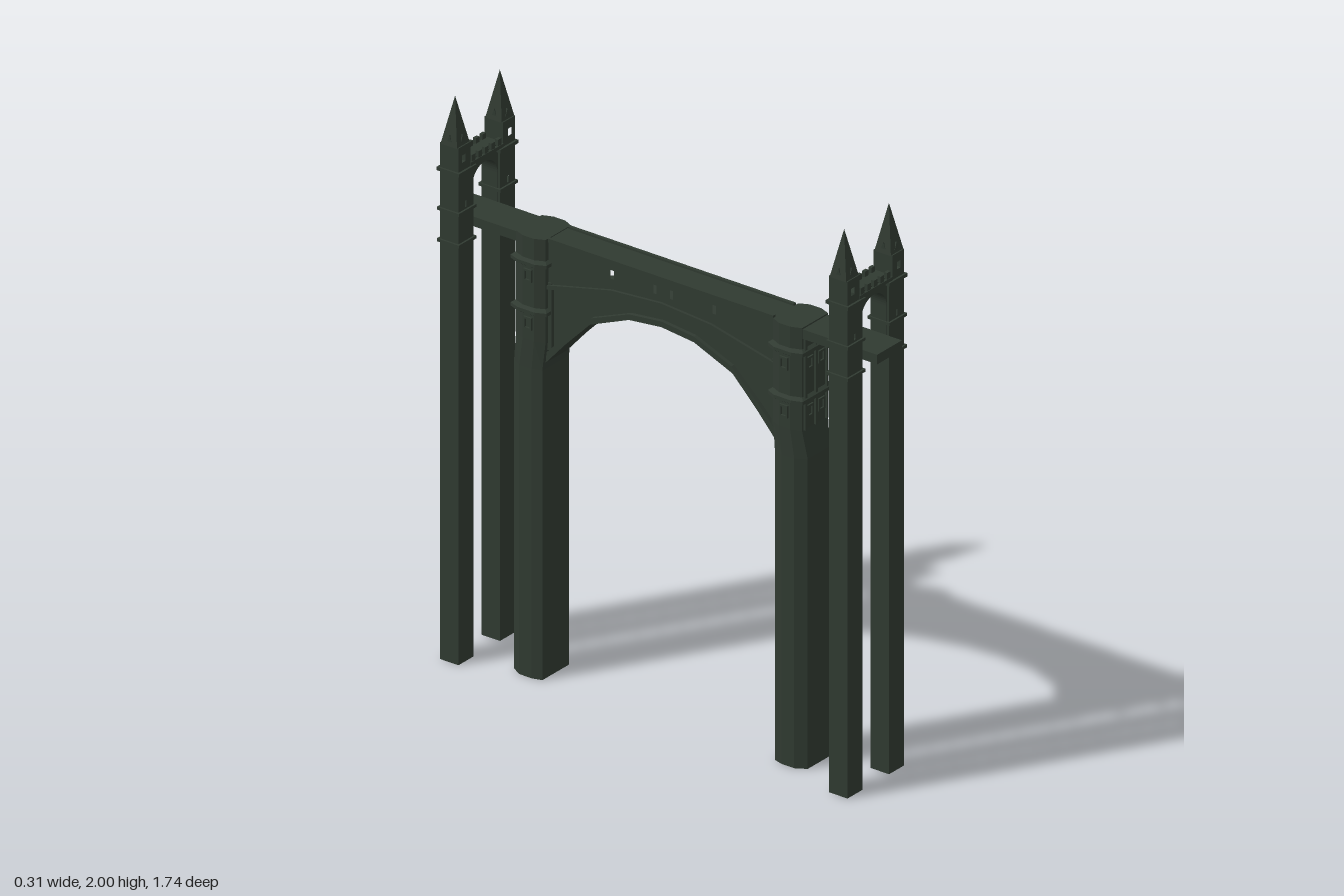
import * as THREE from 'three';

const stone = new THREE.MeshStandardMaterial({ color: 0x303a31 });
stone.name = 'dark green stone';

function add(group, name, geometry, x = 0, y = 0, z = 0) {
  const mesh = new THREE.Mesh(geometry, stone);
  mesh.name = name;
  mesh.position.set(x, y, z);
  group.add(mesh);
  return mesh;
}

const box = (group, name, w, h, d, x, y, z) => add(group, name, new THREE.BoxGeometry(w, h, d), x, y, z);

const polygon = (points) => new THREE.Shape(points.map(([x, y]) => new THREE.Vector2(x, y)));

function rectHole(shape, x, y, w, h) {
  shape.holes.push(new THREE.Path([[-1, -1], [-1, 1], [1, 1], [1, -1]]
    .map(([i, j]) => new THREE.Vector2(x + i * w / 2, y + j * h / 2))));
}

// Extrusion centred on its own depth; the side version maps shape x to model z
function slab(shape, depth) {
  return new THREE.ExtrudeGeometry(shape, { depth, bevelEnabled: false, curveSegments: 12 }).translate(0, 0, -depth / 2);
}
const sideSlab = (shape, depth) => slab(shape, depth).rotateY(-Math.PI / 2);

// Flat-sided loft through [y, plan] sections, each plan listing [x, z] corners
function loft(sections) {
  const n = sections[0][1].length, pos = [];
  const corner = (s, i) => { const [x, z] = sections[s][1][i % n]; return [x, sections[s][0], z]; };
  for (let s = 0; s < sections.length - 1; s++) {
    for (let i = 0; i < n; i++) {
      const a = corner(s, i), b = corner(s, i + 1), c = corner(s + 1, i + 1), d = corner(s + 1, i);
      pos.push(...a, ...c, ...b, ...a, ...d, ...c);
    }
  }
  const top = sections.length - 1;
  for (let i = 1; i < n - 1; i++) {
    pos.push(...corner(0, 0), ...corner(0, i), ...corner(0, i + 1));
    pos.push(...corner(top, 0), ...corner(top, i + 1), ...corner(top, i));
  }
  const geometry = new THREE.BufferGeometry();
  geometry.setAttribute('position', new THREE.Float32BufferAttribute(pos, 3));
  geometry.computeVertexNormals();
  return geometry;
}

// Symmetric plan from the corners of its +x half, inner to outer
const plan = (half) => [...half, ...half.map(([x, z]) => [-x, z]).reverse()];
const grow = (half, d) => half.map(([x, z]) => [x + d, z + Math.sign(z - 0.52) * d]);

// Small raised window surround with a hollow centre
function windowFrame(group, x, y, z, turn) {
  const shape = polygon([[-0.016, -0.022], [0.016, -0.022], [0.016, 0.022], [-0.016, 0.022]]);
  rectHole(shape, 0, 0, 0.02, 0.03);
  add(group, 'windowFrame', slab(shape, 0.012), x, y, z).rotation.y = turn;
}

function makePier() {
  const pier = new THREE.Group();
  pier.name = 'pier';
  const lower = [[0.07, 0.465], [0.08, 0.5], [0.08, 0.55], [0.058, 0.587]];
  const upper = [[0.066, 0.455], [0.082, 0.49], [0.082, 0.535], [0.068, 0.572]];
  add(pier, 'pierShaft', loft([[0, plan(lower)], [1.1, plan(lower)], [1.2, plan(upper)], [1.565, plan(upper)]]));
  for (const y of [1.305, 1.475]) {
    const rim = plan(grow(upper, 0.012)), neck = plan(upper);
    add(pier, 'pierMoulding', loft([[y - 0.014, neck], [y - 0.006, rim], [y + 0.006, rim], [y + 0.014, neck]]));
  }
  // Buttress strips on the outward face
  for (const x of [-0.056, 0, 0.056]) box(pier, 'buttressStrip', 0.01, 0.36, 0.016, x, 1.38, 0.572);
  for (const y of [1.26, 1.43]) {
    for (const s of [-1, 1]) {
      windowFrame(pier, s * 0.03, y, 0.572, 0);
      windowFrame(pier, s * 0.082, y, 0.512, Math.PI / 2);
    }
  }
  return pier;
}

function makeGate() {
  const gate = new THREE.Group();
  gate.name = 'gate';
  const z = 0.778;
  for (const s of [-1, 1]) {
    // Tall tower, pierced by a slit and a belfry window
    const outline = [[0.069, 0], [0.148, 0], [0.148, 1.835], [0.086, 1.835], [0.086, 1.75], [0.069, 1.75]];
    const shape = polygon(outline.map(([x, y]) => [x * s, y]));
    rectHole(shape, s * 0.109, 1.625, 0.008, 0.022);
    rectHole(shape, s * 0.12, 1.79, 0.018, 0.026);
    add(gate, 'tower', slab(shape, 0.074), 0, 0, z);
    for (const y of [1.49, 1.602]) box(gate, 'towerLedge', 0.093, 0.01, 0.088, s * 0.1085, y, z);
    box(gate, 'towerLedge', 0.093, 0.012, 0.09, s * 0.1085, 1.743, z);
    // Four-sided spire with small gablets at its foot
    const spire = new THREE.ConeGeometry(0.033 * Math.SQRT2, 0.167, 4, 1).rotateY(Math.PI / 4).toNonIndexed();
    spire.computeVertexNormals();
    add(gate, 'spire', spire, s * 0.117, 1.9165, z);
    const gable = polygon([[-0.014, 0], [0.014, 0], [0, 0.036]]);
    add(gate, 'gablet', slab(gable, 0.062), s * 0.117, 1.835, z);
    add(gate, 'gablet', sideSlab(gable, 0.06), s * 0.117, 1.835, z);
  }
  // Wall over the roadway with a round-headed opening
  const wall = polygon([[-0.088, 1.54], [-0.067, 1.54], [-0.067, 1.66]]);
  wall.absarc(0, 1.662, 0.067, Math.PI, 0, true);
  [[0.067, 1.54], [0.088, 1.54], [0.088, 1.765], [-0.088, 1.765]].forEach(([x, y]) => wall.lineTo(x, y));
  add(gate, 'gateArch', slab(wall, 0.058), 0, 0, z);
  box(gate, 'gateCornice', 0.172, 0.012, 0.078, 0, 1.755, z);
  for (const s of [-1, 1]) {
    for (let i = -2; i <= 2; i++) box(gate, 'merlon', 0.018, 0.024, 0.012, i * 0.034, 1.772, z + s * 0.031);
  }
  // Approach roadway
  box(gate, 'approachDeck', 0.13, 0.034, 0.315, 0, 1.543, 0.7125);
  return gate;
}

function makeSpan() {
  const span = new THREE.Group();
  span.name = 'span';
  const mirror = (half) => [...half, ...half.slice(0, -1).map(([z, y]) => [-z, y]).reverse()];
  const soffit = mirror([[0.465, 1.12], [0.385, 1.21], [0.285, 1.312], [0.13, 1.376], [0, 1.39]]);
  const ringTop = mirror([[0.465, 1.155], [0.385, 1.238], [0.28, 1.336], [0.13, 1.396], [0, 1.41]]);
  const cornice = mirror([[0.465, 1.385], [0.2, 1.447], [0, 1.462]]);
  const corniceTop = cornice.map(([z, y]) => [z, y + 0.014]);
  const top = [[-0.465, 1.562], [0.465, 1.562]];
  const holes = (shape) => {
    for (const z of [-0.204, -0.033, 0.033, 0.204]) rectHole(shape, z, 1.51, 0.019, 0.036);
    return shape;
  };
  add(span, 'spandrelWall', sideSlab(holes(polygon([...soffit, ...top])), 0.084));
  add(span, 'archRing', sideSlab(polygon([...soffit, ...ringTop.slice().reverse()]), 0.112));
  add(span, 'upperBand', sideSlab(holes(polygon([...cornice, ...top])), 0.1));
  add(span, 'cornice', sideSlab(polygon([...cornice, ...corniceTop.reverse()]), 0.12));
  for (const s of [-1, 1]) {
    box(span, 'parapetRail', 0.012, 0.014, 0.9, s * 0.053, 1.562, 0);
    // Edge post framing each end of the recessed panel
    for (const e of [-1, 1]) box(span, 'panelPost', 0.014, 0.24, 0.02, s * 0.047, 1.29, e * 0.45);
  }
  return span;
}

export function createModel() {
  const model = new THREE.Group();
  model.name = 'archBridge';
  model.add(makeSpan());
  for (const turn of [0, Math.PI]) {
    const end = new THREE.Group();
    end.name = turn ? 'backEnd' : 'frontEnd';
    end.add(makePier(), makeGate());
    end.rotation.y = turn;
    model.add(end);
  }
  return model;
}
